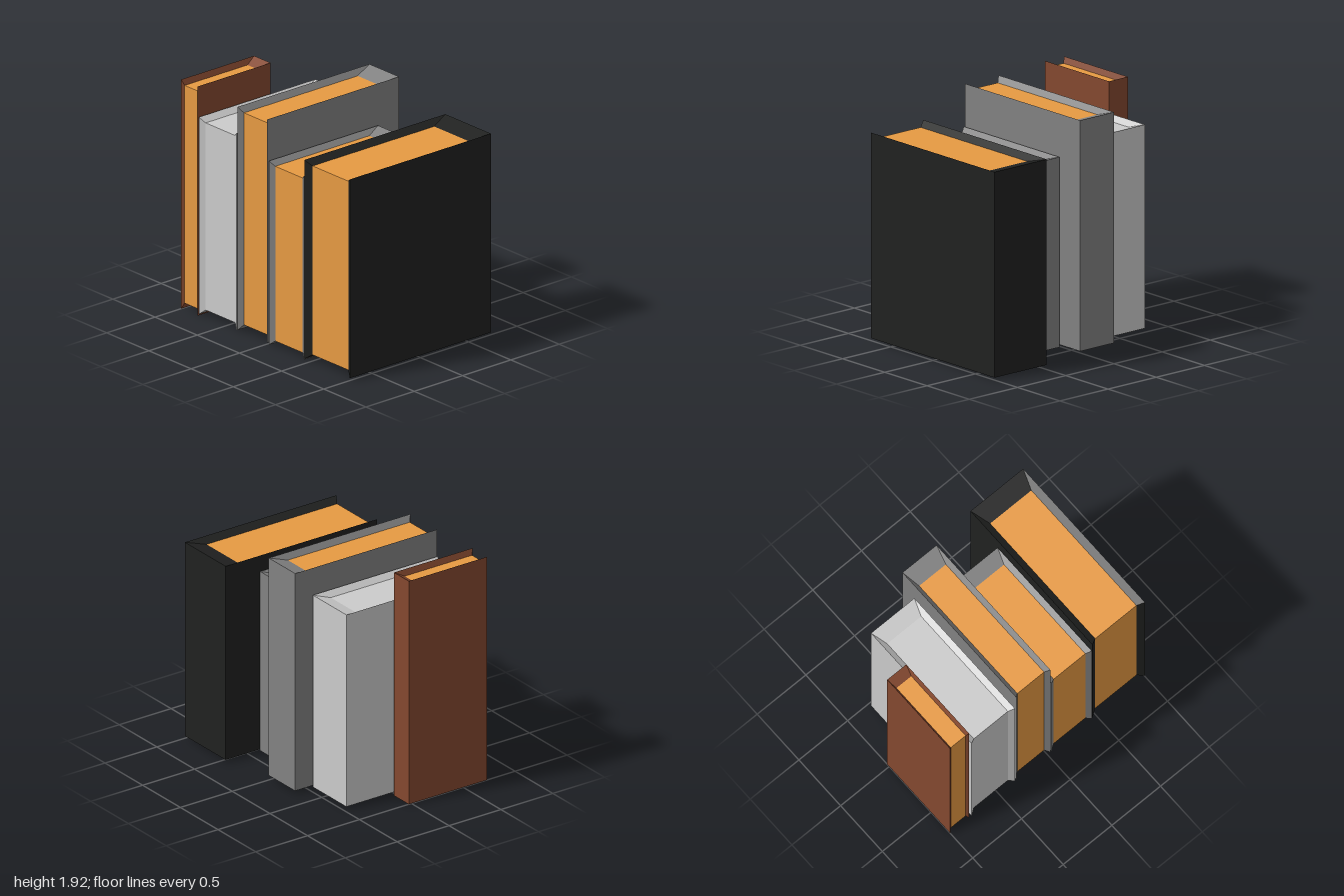
import * as THREE from 'three';

// Unit book, spine towards +x: page block limits inside a 1 x 1 x 1 cover
const FORE = -0.476, SPINE = 0.386, PY = 0.475, PZ = 0.392;

// Cover: a four-point section (outer bottom, outer top, inner top, inner bottom)
// carried round the U-shaped plan from front board to spine to back board
function coverGeometry() {
  const outer = [[-0.5, 0.5], [0.5, 0.5], [0.5, -0.5], [-0.5, -0.5]];
  const inner = [[FORE, PZ], [SPINE, PZ], [SPINE, -PZ], [FORE, -PZ]];
  const heights = [-0.5, 0.5, PY, -PY];
  const point = (i, k) => {
    const [x, z] = (k % 4 < 2 ? outer : inner)[i];
    return [x, heights[k % 4], z];
  };
  const positions = [];
  const quad = (a, b, c, d) => positions.push(...a, ...b, ...c, ...a, ...c, ...d);
  for (let i = 0; i < 3; i++) {
    for (let k = 0; k < 4; k++) {
      quad(point(i, k), point(i + 1, k), point(i + 1, k + 1), point(i, k + 1));
    }
  }
  // sloped fore-edges of the two boards
  quad(point(0, 0), point(0, 1), point(0, 2), point(0, 3));
  quad(point(3, 3), point(3, 2), point(3, 1), point(3, 0));

  const geometry = new THREE.BufferGeometry();
  geometry.setAttribute('position', new THREE.Float32BufferAttribute(positions, 3));
  geometry.computeVertexNormals();
  return geometry;
}

function pagesGeometry() {
  return new THREE.BoxGeometry(SPINE - FORE, 2 * PY, 2 * PZ)
    .translate((SPINE + FORE) / 2, 0, 0);
}

const material = (color) => new THREE.MeshStandardMaterial({ color, flatShading: true });

export function createModel() {
  const model = new THREE.Group();
  model.name = 'bookRow';

  const cover = coverGeometry();
  const pages = pagesGeometry();
  const paper = material(0xe79a42);
  const grey = material(0x828282);
  const plain = material(0xcccccc);

  // x, y and z ranges of each book, front to back
  const books = [
    { name: 'blackBook', x: [-0.73, 0.73], y: [0.02, 1.69], z: [0.46, 1], cover: material(0x202120), pages: paper },
    { name: 'shortGreyBook', x: [-0.73, 0.4], y: [0.01, 1.555], z: [0.04, 0.455], cover: grey, pages: paper },
    { name: 'tallGreyBook', x: [-0.735, 0.63], y: [0.025, 1.9], z: [-0.325, 0.025], cover: grey, pages: paper },
    { name: 'lightBook', x: [-0.735, 0.47], y: [0.02, 1.675], z: [-0.785, -0.34], cover: plain, pages: plain },
    { name: 'brownBook', x: [-0.73, 0.025], y: [0, 1.925], z: [-1, -0.805], cover: material(0x84482f), pages: paper },
  ];

  for (const b of books) {
    const book = new THREE.Group();
    book.name = b.name;
    for (const axis of ['x', 'y', 'z']) {
      const [lo, hi] = b[axis];
      book.position[axis] = (lo + hi) / 2;
      book.scale[axis] = hi - lo;
    }
    const coverMesh = new THREE.Mesh(cover, b.cover);
    coverMesh.name = 'cover';
    const pageMesh = new THREE.Mesh(pages, b.pages);
    pageMesh.name = 'pages';
    book.add(coverMesh, pageMesh);
    model.add(book);
  }
  return model;
}
